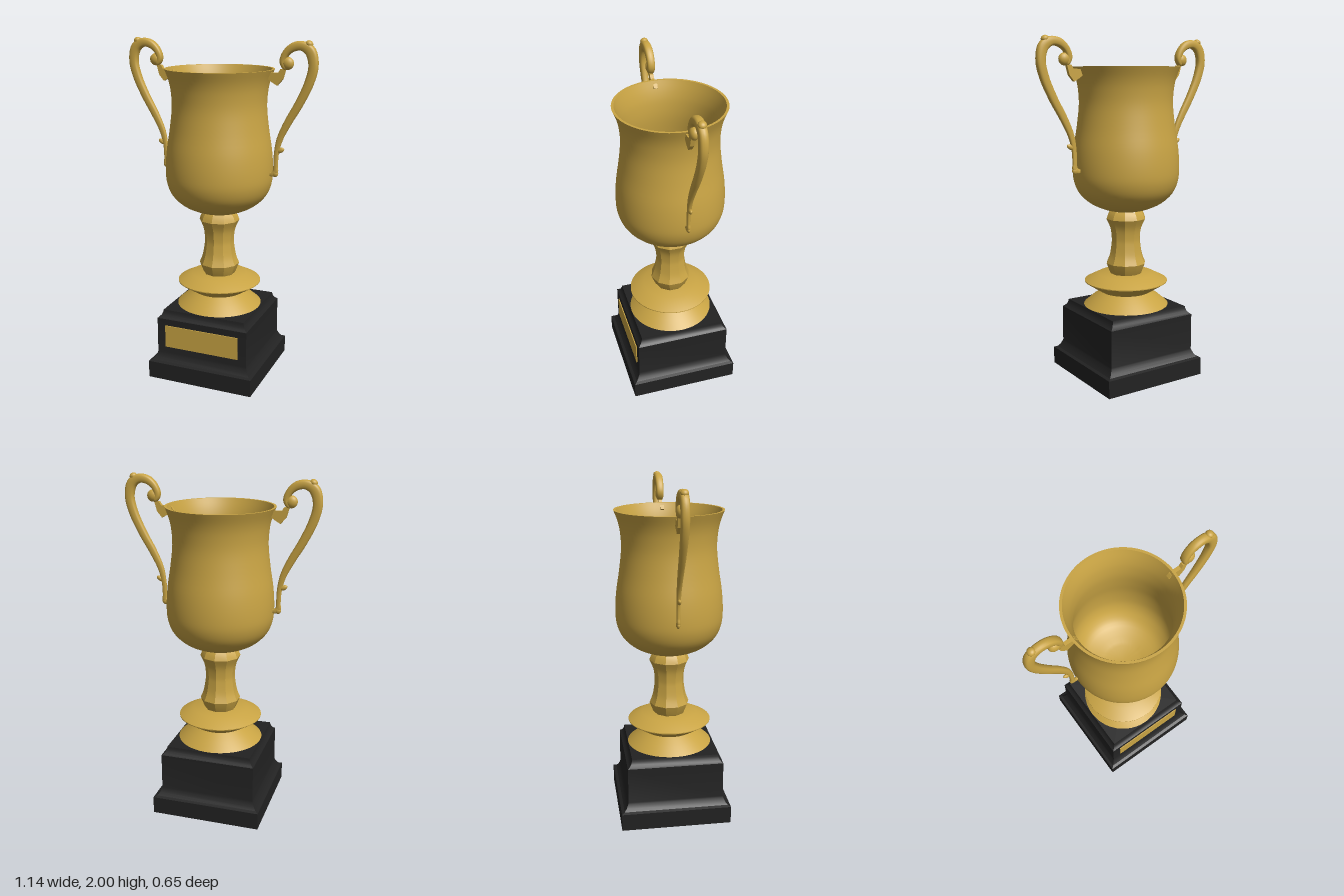
import * as THREE from 'three';
import { toCreasedNormals } from 'three/addons/utils/BufferGeometryUtils.js';

const gold = new THREE.MeshStandardMaterial({ color: 0xc9a444 });
gold.name = 'gold';
const black = new THREE.MeshStandardMaterial({ color: 0x222222 });
black.name = 'black';

const vecs = (list) => list.map(([x, y]) => new THREE.Vector2(x, y));

function mesh(name, geometry, material) {
  const m = new THREE.Mesh(geometry, material);
  m.name = name;
  return m;
}

// Turned part with crisp edges
const turned = (points, sides, crease = 0.5) =>
  toCreasedNormals(new THREE.LatheGeometry(points, sides), crease);

// Sweeps a rounded section along a flat path; rows are [x, y, half width, half depth]
function sweep(rows, steps = 90, sides = 16) {
  const path = new THREE.CatmullRomCurve3(rows.map(([x, y]) => new THREE.Vector3(x, y, 0)));
  const size = new THREE.CatmullRomCurve3(rows.map(([, , w, d]) => new THREE.Vector3(w, d, 0)));
  const soft = (v) => Math.sign(v) * Math.pow(Math.abs(v), 0.75);
  const pos = [], index = [];
  for (let i = 0; i <= steps; i++) {
    const p = path.getPoint(i / steps), t = path.getTangent(i / steps), s = size.getPoint(i / steps);
    for (let k = 0; k < sides; k++) {
      const a = (k / sides) * Math.PI * 2;
      const w = s.x * soft(Math.cos(a));
      pos.push(p.x - t.y * w, p.y + t.x * w, s.y * soft(Math.sin(a)));
      if (i < steps) {
        const a0 = i * sides + k, a1 = i * sides + (k + 1) % sides;
        index.push(a0, a1, a0 + sides, a1, a1 + sides, a0 + sides);
      }
    }
  }
  const g = new THREE.BufferGeometry();
  g.setAttribute('position', new THREE.Float32BufferAttribute(pos, 3));
  g.setIndex(index);
  g.computeVertexNormals();
  return g;
}

function createHandle(name) {
  const handle = new THREE.Group();
  handle.name = name;

  // Scroll, shoulder and long tapering arm
  handle.add(mesh('handleArm', sweep([
    [0.405, 1.85, 0.002, 0.002], [0.388, 1.855, 0.016, 0.02], [0.373, 1.885, 0.018, 0.022],
    [0.39, 1.93, 0.02, 0.023], [0.43, 1.963, 0.024, 0.024], [0.48, 1.97, 0.026, 0.024],
    [0.525, 1.943, 0.03, 0.024], [0.544, 1.87, 0.027, 0.024], [0.525, 1.78, 0.026, 0.022],
    [0.47, 1.66, 0.024, 0.019], [0.41, 1.555, 0.022, 0.016], [0.365, 1.46, 0.018, 0.013],
    [0.347, 1.38, 0.014, 0.011], [0.343, 1.3, 0.013, 0.01], [0.342, 1.27, 0.016, 0.01],
    [0.325, 1.256, 0.015, 0.01], [0.305, 1.256, 0.01, 0.008],
  ]), gold));

  // Round details: scroll eye, thumb bump, thorn and foot
  const blobs = [
    ['scrollEye', 0.4, 1.876, 0.035, 0.035, 0.025, 0],
    ['thumbBump', 0.517, 1.982, 0.022, 0.018, 0.022, -0.4],
    ['thorn', 0.37, 1.395, 0.024, 0.014, 0.011, 0.5],
    ['foot', 0.34, 1.26, 0.02, 0.02, 0.011, 0],
  ];
  for (const [label, x, y, sx, sy, sz, tilt] of blobs) {
    const b = mesh(label, new THREE.SphereGeometry(1, 20, 14), gold);
    b.position.set(x, y, 0);
    b.scale.set(sx, sy, sz);
    b.rotation.z = tilt;
    handle.add(b);
  }

  // Bracket joining the scroll to the cup
  const shape = new THREE.Shape(vecs([
    [0.275, 1.8], [0.31, 1.775], [0.345, 1.755], [0.375, 1.79],
    [0.39, 1.845], [0.362, 1.845], [0.35, 1.825], [0.29, 1.822],
  ]));
  const bracket = new THREE.ExtrudeGeometry(shape, { depth: 0.022, bevelEnabled: false });
  bracket.translate(0, 0, -0.011);
  handle.add(mesh('handleBracket', bracket, gold));
  return handle;
}

export function createModel() {
  const trophy = new THREE.Group();
  trophy.name = 'trophy';

  // Square moulded plinth: a four-sided turning, half widths given
  const plinthProfile = [
    [0, 0], [0.3, 0], [0.3, 0.012], [0.325, 0.012], [0.325, 0.115], [0.308, 0.122],
    [0.295, 0.138], [0.285, 0.16], [0.282, 0.17], [0.282, 0.385], [0.272, 0.392],
    [0.262, 0.404], [0.256, 0.42], [0.254, 0.432], [0, 0.432],
  ].map(([x, y]) => [x * Math.SQRT2, y]);
  const plinth = new THREE.LatheGeometry(vecs(plinthProfile), 4, Math.PI / 4);
  trophy.add(mesh('plinth', toCreasedNormals(plinth, 0.4), black));

  // Name plate on the front
  const plate = mesh('plaque', new THREE.BoxGeometry(0.46, 0.135, 0.008), gold);
  plate.position.set(0, 0.278, 0.284);
  trophy.add(plate);

  // Waisted round foot
  trophy.add(mesh('cupFoot', turned(vecs([
    [0, 0.431], [0.254, 0.431], [0.2, 0.477], [0.148, 0.512], [0.165, 0.522],
    [0.247, 0.575], [0.247, 0.58], [0.165, 0.622], [0, 0.622],
  ]), 64), gold));

  // Faceted stem
  const stemCurve = new THREE.SplineCurve(vecs([
    [0.119, 0.685], [0.1, 0.735], [0.089, 0.8], [0.087, 0.84], [0.095, 0.9], [0.119, 0.955],
  ]));
  trophy.add(mesh('stem', turned([
    ...vecs([[0.092, 0.62], [0.098, 0.63]]),
    ...stemCurve.getPoints(16),
    ...vecs([[0.108, 0.985], [0.094, 1.003]]),
  ], 10), gold));

  // Cup: outer wall up to the rim, inner wall back down
  const outer = new THREE.SplineCurve(vecs([
    [0.085, 1.002], [0.14, 1.017], [0.215, 1.053], [0.275, 1.11], [0.305, 1.18], [0.312, 1.26],
    [0.305, 1.37], [0.285, 1.5], [0.272, 1.62], [0.276, 1.71], [0.289, 1.775], [0.312, 1.837],
  ]));
  const inner = new THREE.SplineCurve(vecs([
    [0.298, 1.837], [0.276, 1.775], [0.262, 1.71], [0.258, 1.62], [0.271, 1.5], [0.291, 1.37],
    [0.297, 1.26], [0.29, 1.185], [0.263, 1.122], [0.208, 1.069], [0.095, 1.03],
  ]));
  trophy.add(mesh('cup', turned([
    new THREE.Vector2(0, 1), ...outer.getPoints(44), ...inner.getPoints(40), new THREE.Vector2(0, 1.028),
  ], 80), gold));

  // Pair of handles
  const left = createHandle('leftHandle');
  const right = createHandle('rightHandle');
  right.rotation.y = Math.PI;
  trophy.add(left, right);

  return trophy;
}
